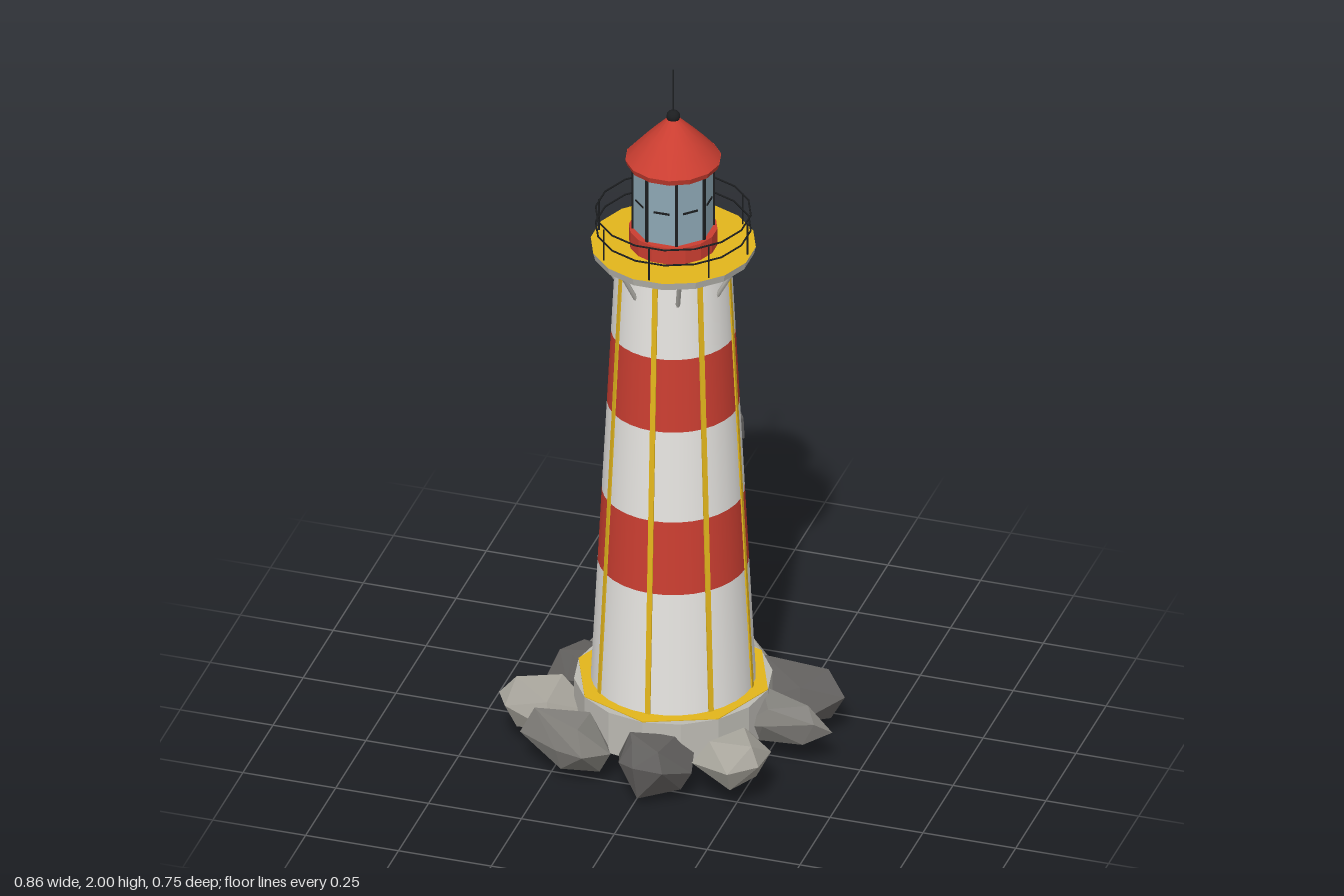
import * as THREE from 'three';
import { ConvexGeometry } from 'three/addons/geometries/ConvexGeometry.js';

const mat = (name, color) => {
  const m = new THREE.MeshStandardMaterial({ color });
  m.name = name;
  return m;
};

export function createModel() {
  const white = mat('white paint', 0xefede9);
  const red = mat('red paint', 0xcb3e31);
  const yellow = mat('yellow paint', 0xe3b61c);
  const black = mat('black iron', 0x1c1e20);
  const glass = mat('glass', 0x8ea8b5);
  const concrete = mat('concrete', 0xbdbbb4);
  const shade = mat('window grey', 0x5a5957);
  const rockLight = mat('light rock', 0xa8a59c);
  const rockMid = mat('mid rock', 0x84827d);
  const rockDark = mat('dark rock', 0x62605e);
  const faceted = (g) => {
    const n = g.toNonIndexed();
    n.computeVertexNormals();
    return n;
  };

  const model = new THREE.Group();
  model.name = 'lighthouse';
  const tower = new THREE.Group();
  tower.name = 'tower';
  tower.position.z = 0.01;
  model.add(tower);

  const add = (name, geo, material, x = 0, y = 0, z = 0, parent = tower) => {
    const m = new THREE.Mesh(geo, material);
    m.name = name;
    m.position.set(x, y, z);
    parent.add(m);
    return m;
  };
  // Cylinder given by its bottom and top heights
  const drum = (name, material, rTop, rBottom, y0, y1, sides, turn = 0, flat = true) => {
    const g = new THREE.CylinderGeometry(rTop, rBottom, y1 - y0, sides);
    const m = add(name, flat ? faceted(g) : g, material, 0, (y0 + y1) / 2);
    m.rotation.y = turn;
    return m;
  };
  const box = (name, material, w, h, d, x, y, z, parent) =>
    add(name, new THREE.BoxGeometry(w, h, d), material, x, y, z, parent);
  // Pivot about the tower axis; its +z points outward at the angle (0 is front, 90 is +x)
  const spoke = (name, degrees) => {
    const g = new THREE.Group();
    g.name = name;
    g.rotation.y = THREE.MathUtils.degToRad(degrees);
    tower.add(g);
    return g;
  };
  const rod = (name, material, a, b, r, parent) => {
    const curve = new THREE.LineCurve3(new THREE.Vector3(...a), new THREE.Vector3(...b));
    return add(name, new THREE.TubeGeometry(curve, 1, r, 6), material, 0, 0, 0, parent);
  };

  // Plinth with painted walkway
  drum('plinth', concrete, 0.255, 0.255, 0.08, 0.2, 16);
  drum('plinthWalkway', yellow, 0.255, 0.255, 0.199, 0.202, 8);

  // Tapered shaft in five painted bands
  const y0 = 0.2, y1 = 1.47, r0 = 0.212, r1 = 0.148;
  const radiusAt = (y) => r0 + (r1 - r0) * (y - y0) / (y1 - y0);
  const slope = Math.atan((r0 - r1) / (y1 - y0));
  const levels = [y0, 0.55, 0.76, 1.02, 1.23, y1];
  for (let i = 0; i < 5; i++) {
    const [a, b] = [levels[i], levels[i + 1]];
    drum('shaftBand', i % 2 ? red : white, radiusAt(b), radiusAt(a), a, b, 32, 0, false);
  }

  // Vertical ribs, gallery brackets and railing posts
  const mid = (y0 + y1) / 2;
  for (let i = 0; i < 8; i++) {
    const s = spoke('ribAndPost', i * 45);
    box('rib', yellow, 0.014, y1 - y0, 0.008, 0, mid, radiusAt(mid) - 0.001, s).rotation.x = -slope;
    rod('railingPost', black, [0, 1.487, 0.2], [0, 1.58, 0.2], 0.0025, s);
    const b = spoke('bracketArm', i * 45 + 22.5);
    rod('bracket', concrete, [0, 1.385, 0.148], [0, 1.47, 0.197], 0.006, b);
  }

  // Windows
  for (const [angle, y] of [[120, 0.92], [150, 1.38], [-120, 0.67]]) {
    const s = spoke('windowArm', angle);
    box('window', shade, 0.036, 0.06, 0.02, 0, y, radiusAt(y) - 0.004, s).rotation.x = -slope;
  }

  // Doorway at the back
  box('doorFrame', white, 0.106, 0.22, 0.07, 0, 0.308, -0.2);
  box('door', black, 0.07, 0.17, 0.008, 0, 0.29, -0.237);
  box('doorLintel', red, 0.13, 0.015, 0.022, 0, 0.423, -0.243);
  add('doorKnob', new THREE.SphereGeometry(0.005, 8, 6), yellow, 0.022, 0.29, -0.243);
  box('doorStep', yellow, 0.12, 0.07, 0.1, 0, 0.167, -0.26);

  // Gallery deck: concrete rim, painted floor and underside
  drum('galleryDeck', [concrete, yellow, yellow], 0.213, 0.208, 1.466, 1.487, 16, Math.PI / 16);
  for (const y of [1.535, 1.58]) {
    const rail = add('rail', new THREE.TorusGeometry(0.2, 0.0025, 5, 16), black, 0, y);
    rail.rotation.set(Math.PI / 2, 0, Math.PI / 16);
  }

  // Lantern room
  drum('lanternBase', red, 0.114, 0.114, 1.487, 1.535, 16, Math.PI / 16);
  drum('lanternGlass', glass, 0.104, 0.104, 1.535, 1.73, 8, Math.PI / 8);
  for (let i = 0; i < 8; i++) {
    const m = spoke('mullionArm', i * 45 + 22.5);
    box('mullion', black, 0.008, 0.195, 0.008, 0, 1.632, 0.103, m);
    const p = spoke('paneArm', i * 45);
    box('paneBar', black, 0.042, 0.005, 0.006, 0, 1.627, 0.096, p);
  }

  // Eave, roof, finial and mast
  drum('eave', red, 0.124, 0.119, 1.725, 1.741, 14, Math.PI / 14);
  const roof = [[0.123, 1.741], [0.092, 1.777], [0.062, 1.809], [0.012, 1.86]]
    .map(([x, y]) => new THREE.Vector2(x, y));
  add('roof', new THREE.LatheGeometry(roof, 14), red).rotation.y = Math.PI / 14;
  add('finial', new THREE.SphereGeometry(0.018, 12, 8), black, 0, 1.862);
  drum('mast', black, 0.002, 0.002, 1.86, 2, 6);

  // Boulders: convex hulls of a plan outline (x, z pairs) with smaller rings above and below
  let seed = 11;
  const random = () => (seed = (seed * 16807) % 2147483647) / 2147483647;
  const boulder = (material, low, high, outline) => {
    const n = outline.length / 2;
    const rim = Array.from({ length: n }, (_, i) =>
      new THREE.Vector3(outline[2 * i], low + (high - low) * (0.4 + 0.25 * random()), outline[2 * i + 1]));
    const centre = rim.reduce((c, p) => c.addScaledVector(p, 1 / n), new THREE.Vector3());
    const ring = (y, offset) => rim.filter((_, i) => i % 2 === offset).map((p, i) => {
      const q = centre.clone().lerp(p, 0.5 + 0.25 * random());
      q.y = i === 0 ? y : y + (centre.y - y) * 0.3 * random();
      return q;
    });
    add('boulder', new ConvexGeometry([...rim, ...ring(high, 0), ...ring(low, 1)]), material, 0, 0, 0, model);
  };
  boulder(rockMid, 0.05, 0.19, [-0.27, -0.29, -0.13, -0.35, -0.065, -0.315, -0.09, -0.19, -0.29, -0.18]);
  boulder(rockLight, 0, 0.15,
    [-0.07, -0.31, -0.05, -0.355, 0.01, -0.38, 0.08, -0.38, 0.15, -0.35, 0.17, -0.3, 0.08, -0.22, -0.04, -0.22]);
  boulder(rockDark, 0.03, 0.18,
    [0.135, -0.205, 0.31, -0.23, 0.38, -0.19, 0.415, -0.135, 0.325, -0.035, 0.2, -0.06]);
  boulder(rockMid, 0.05, 0.19, [0.2, -0.04, 0.32, -0.055, 0.43, 0.015, 0.39, 0.045, 0.265, 0.087, 0.2, 0.07]);
  boulder(rockLight, 0.06, 0.19, [0.26, 0.147, 0.32, 0.185, 0.32, 0.29, 0.25, 0.335, 0.14, 0.29, 0.15, 0.2]);
  boulder(rockDark, 0.02, 0.18,
    [-0.057, 0.285, -0.05, 0.2, 0.12, 0.2, 0.14, 0.29, 0.088, 0.375, 0.007, 0.372, -0.04, 0.34]);
  boulder(rockMid, 0.03, 0.175, [-0.34, 0.235, -0.25, 0.15, -0.14, 0.17, -0.082, 0.28, -0.135, 0.355, -0.22, 0.31]);
  boulder(rockLight, 0.05, 0.19, [-0.43, 0.13, -0.4, 0.075, -0.26, 0.047, -0.18, 0.1, -0.26, 0.23, -0.4, 0.175]);
  boulder(rockDark, 0.04, 0.18,
    [-0.355, -0.025, -0.35, -0.1, -0.3, -0.18, -0.2, -0.2, -0.18, -0.1, -0.24, -0.03, -0.295, -0.015]);
  return model;
}
